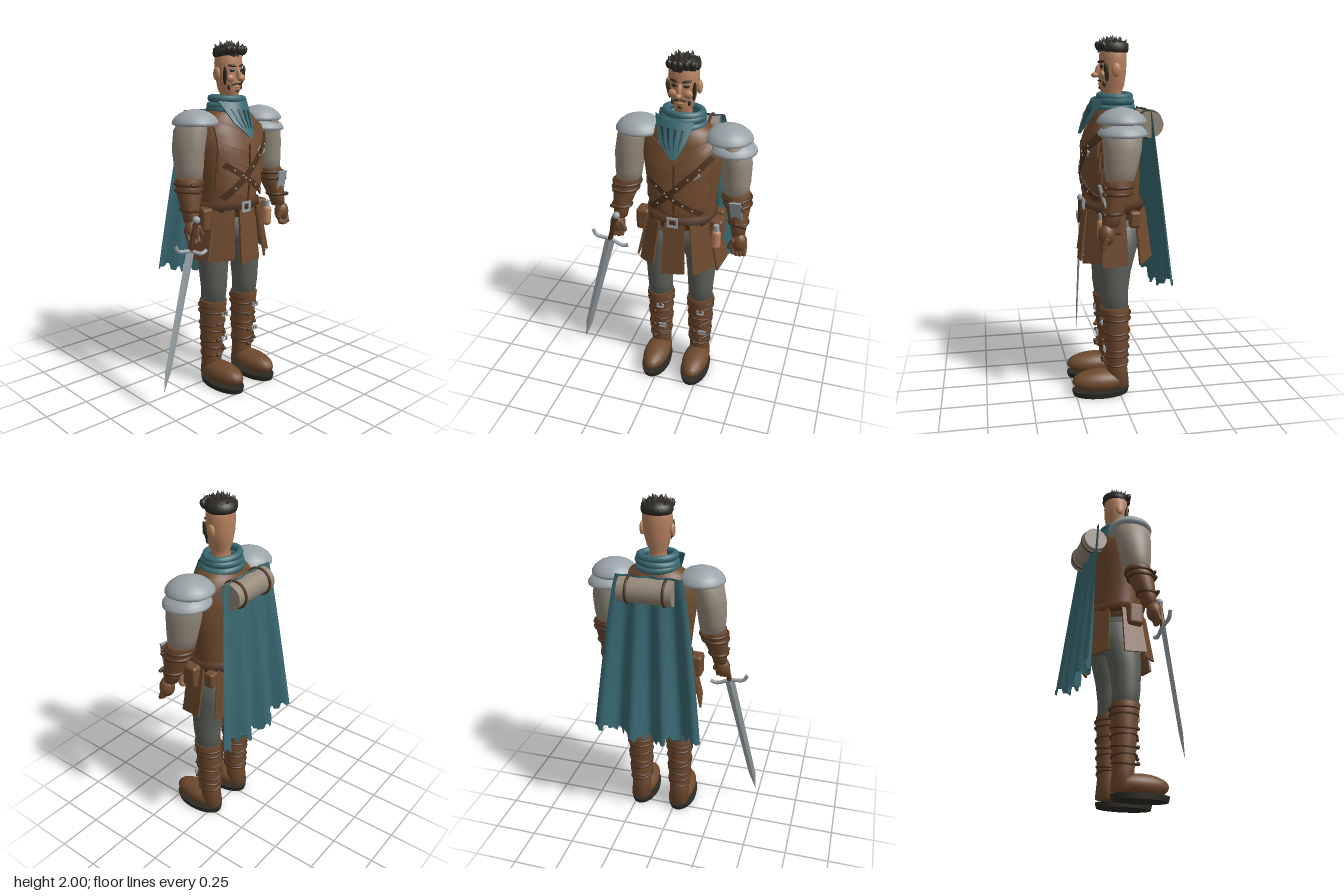
import * as THREE from 'three';
import { RoundedBoxGeometry } from 'three/addons/geometries/RoundedBoxGeometry.js';

const mat = (name, color, side = THREE.FrontSide) => {
  const m = new THREE.MeshStandardMaterial({ color, side });
  m.name = name;
  return m;
};

// Closed loft through elliptical sections [y, cx, cz, rx, rz], bottom to top
function loft(sections, n = 28, flat = false) {
  const f = sections[0], l = sections[sections.length - 1];
  const rows = [[f[0], f[1], f[2], 0, 0], ...sections, [l[0], l[1], l[2], 0, 0]];
  const pos = [], idx = [];
  rows.forEach(([y, cx, cz, rx, rz], i) => {
    for (let j = 0; j < n; j++) {
      const a = (j / n) * Math.PI * 2;
      pos.push(cx + rx * Math.sin(a), y, cz + rz * Math.cos(a));
      if (i === rows.length - 1) continue;
      const p = i * n + j, q = i * n + ((j + 1) % n);
      idx.push(p, q, p + n, q, q + n, p + n);
    }
  });
  let g = new THREE.BufferGeometry();
  g.setAttribute('position', new THREE.Float32BufferAttribute(pos, 3));
  g.setIndex(idx);
  if (flat) g = g.toNonIndexed();
  g.computeVertexNormals();
  return g;
}

// Front surface depth of a loft at (x, y)
function frontZ(sections, x, y) {
  let i = 0;
  while (i < sections.length - 2 && sections[i + 1][0] < y) i++;
  const a = sections[i], b = sections[i + 1];
  const k = THREE.MathUtils.clamp((y - a[0]) / (b[0] - a[0]), 0, 1);
  const [, cx, cz, rx, rz] = a.map((v, q) => v + (b[q] - v) * k);
  return cz + rz * Math.sqrt(Math.max(0, 1 - ((x - cx) / rx) ** 2));
}

// Thin slab bent by f(s, t, d): s, t, d run from -0.5 to 0.5
function bend(nx, ny, f) {
  const g = new THREE.BoxGeometry(1, 1, 1, nx, ny, 1), p = g.attributes.position;
  for (let i = 0; i < p.count; i++) p.setXYZ(i, ...f(p.getX(i), p.getY(i), p.getZ(i)));
  g.computeVertexNormals();
  return g;
}

const TORSO = [[1.02, 0, .01, .185, .135], [1.1, 0, .01, .185, .14], [1.25, 0, .015, .2, .148], [1.42, 0, .015, .222, .148],
  [1.53, 0, .01, .212, .138], [1.59, 0, .005, .16, .115], [1.64, 0, .005, .08, .08]];
const HEAD = [[1.58, 0, .01, .05, .055], [1.68, 0, .015, .047, .055], [1.695, 0, .022, .045, .055], [1.73, 0, .02, .06, .068],
  [1.8, 0, .015, .077, .073], [1.87, 0, .013, .082, .074], [1.93, 0, .012, .077, .072], [1.965, 0, .012, .045, .05]];

export function createModel() {
  const leather = mat('leather', 0x6f4a2e), strapM = mat('dark leather', 0x50341f), teal = mat('teal cloth', 0x396972, THREE.DoubleSide);
  const grey = mat('grey trousers', 0x5c5f58), linen = mat('linen', 0x94897a), steel = mat('steel', 0x9aa3a8);
  const skin = mat('skin', 0xb8835f), hair = mat('hair', 0x2d2a23), dark = mat('dark teal', 0x1d3b42);
  const root = new THREE.Group(), body = new THREE.Group();
  body.name = 'warrior';
  body.position.x = .095;
  root.add(body);
  const add = (name, geo, m, pos = [0, 0, 0], rot = [0, 0, 0], scale = [1, 1, 1], parent = body) => {
    const o = new THREE.Mesh(geo, m);
    o.name = name;
    o.position.set(...pos); o.rotation.set(...rot); o.scale.set(...scale);
    parent.add(o);
    return o;
  };
  const ball = (name, m, pos, scale, rot) => add(name, new THREE.SphereGeometry(1, 20, 14), m, pos, rot, scale);
  const ring = (name, m, y, cx, cz, rx, rz, tube, tilt = 0) =>
    add(name, new THREE.TorusGeometry(1, tube / rx, 8, 32), m, [cx, y, cz], [Math.PI / 2, tilt, 0], [rx, rz, rx]);
  const buckle = (w, h, pos, rotZ = 0) => {
    const s = new THREE.Shape([[-1, -1], [1, -1], [1, 1], [-1, 1]].map(([x, y]) => new THREE.Vector2(x * w, y * h)));
    s.holes.push(new THREE.Path([[-1, -1], [-1, 1], [1, 1], [1, -1]].map(([x, y]) => new THREE.Vector2(x * w * .6, y * h * .6))));
    add('buckle', new THREE.ExtrudeGeometry(s, { depth: .01, bevelEnabled: false }), steel, pos, [0, 0, rotZ]);
  };

  // Vest with overlapping chevron plates
  add('vest', loft(TORSO, 40), leather);
  [1.44, 1.355, 1.27, 1.185].forEach((y0, k) => add('chestPlate', bend(16, 3, (s, t, d) => {
    const x = s * (k === 0 ? .36 : .35), y = y0 + Math.abs(x) * .38 + t * .11;
    return [x, y, frontZ(TORSO, x, y) + .016 - t * .02 + d * .01];
  }), leather));
  add('vestSeam', bend(1, 8, (s, t, d) => {
    const y = 1.28 + t * .32;
    return [s * .008, y, frontZ(TORSO, 0, y) + .03 + d * .006];
  }), strapM);
  const strap = (ax, ay, bx, by, w, off) => {
    const l = Math.hypot(bx - ax, by - ay), ex = (bx - ax) / l, ey = (by - ay) / l;
    add('chestStrap', bend(12, 1, (s, t, d) => {
      const x = ax + (bx - ax) * (s + .5) - ey * t * w, y = ay + (by - ay) * (s + .5) + ex * t * w;
      return [x, y, frontZ(TORSO, x, y) + off + d * .01];
    }), strapM);
    for (let k = 1; k < 6; k++) {
      const x = ax + (bx - ax) * k / 6, y = ay + (by - ay) * k / 6;
      ball('stud', steel, [x, y, frontZ(TORSO, x, y) + off + .006], [.006, .006, .004]);
    }
  };
  strap(-.15, 1.14, .19, 1.48, .034, .034);
  strap(.15, 1.14, -.15, 1.33, .03, .03);
  buckle(.022, .022, [.11, 1.39, .165], .7);

  // Belt, buckle, pouches and flask
  add('belt', loft([[1.055, 0, .01, .2, .165], [1.108, 0, .01, .2, .163]], 40), strapM);
  buckle(.032, .03, [-.01, 1.082, .172]);
  for (const m of [-1, 1]) add('pouch', new RoundedBoxGeometry(.075, .13, .09, 3, .018), leather, [m * .215, 1.02, .05]);
  add('beltPouch', new RoundedBoxGeometry(.06, .09, .06, 3, .015), leather, [.2, 1.03, -.07]);
  add('flask', new THREE.CapsuleGeometry(.026, .07, 6, 14), skin, [.225, .985, .115]);
  add('flaskCap', new THREE.CylinderGeometry(.016, .016, .04, 14), steel, [.225, 1.055, .115]);

  // Skirt panels hanging from the belt
  [0, 42, -42, 80, -80, 142, -142].forEach((deg, k) => {
    const a = THREE.MathUtils.degToRad(deg), low = k === 0 ? .765 : .785;
    add('skirtPanel', bend(4, 4, (s, t, d) => {
      const h = .5 - t, w = s * (.115 + .025 * h), r = d * .012;
      const rx = .192 + .06 * h + r, rz = .158 + .035 * h + r;
      const y = 1.07 - h * (1.07 - low) + h * .02 * s;
      return [Math.sin(a) * rx + Math.cos(a) * w, y, .01 + Math.cos(a) * rz - Math.sin(a) * w];
    }), leather);
  });

  // Trousers, boots and feet
  add('trouserSeat', loft([[.86, 0, .005, .15, .1], [.92, 0, .003, .185, .118], [1.06, 0, .008, .182, .135]]), grey);
  for (const m of [-1, 1]) {
    const x = m * .125;
    add('trouserLeg', loft([[.48, x, .022, .068, .073], [.6, x, .032, .074, .08], [.72, x, .027, .083, .09],
      [.85, m * .115, .01, .09, .108], [.98, m * .1, .004, .088, .112]]), grey);
    add('bootShaft', loft([[.05, x, .005, .062, .062], [.15, x, .013, .06, .06], [.3, x, .016, .07, .068],
      [.45, x, .023, .074, .077], [.515, x, .027, .078, .083], [.522, x, .027, .07, .075]]), leather);
    ball('bootFoot', leather, [x, .08, .107], [.078, .064, .163]);
    add('sole', new THREE.CylinderGeometry(1, .95, .03, 32), hair, [x, .015, .107], [0, 0, 0], [.086, 1, .165]);
    [.19, .225, .28, .33, .38, .45, .485].forEach((y, k) => {
      const r = .062 + (y - .15) * .045;
      ring('bootStrap', strapM, y, x, .018, r, r + .002, .007, k > 4 ? 0 : (k % 2 ? .16 : -.16) * m);
      ball('laceKnot', strapM, [x + (k % 2 ? .02 : -.02), y, .09 + (k % 2) * .01], [.012, .011, .012]);
    });
    buckle(.022, .013, [x + .03, .28, .085]);
    buckle(.022, .013, [x + .02, .44, .1]);
  }

  // Arms
  for (const m of [-1, 1]) {
    add('sleeve', loft([[1.23, m * .307, .038, .066, .07], [1.32, m * .305, .03, .078, .085], [1.42, m * .3, .02, .083, .1],
      [1.52, m * .285, .02, .08, .107], [1.59, m * .26, .02, .05, .08]]), linen);
    add('bracer', loft([[1.03, m * .343, .093, .038, .042], [1.08, m * .34, .082, .045, .05], [1.18, m * .325, .055, .069, .069],
      [1.255, m * .31, .038, .076, .078], [1.27, m * .308, .036, .07, .072]]), leather);
    [[1.1, .337, .076, .052], [1.2, .322, .05, .073], [1.235, .315, .043, .077]].forEach(([y, cx, cz, r]) => {
      ring('bracerStrap', strapM, y, m * cx, cz, r, r, .009);
      add('strapEnd', new THREE.CapsuleGeometry(.011, .05, 4, 10), strapM, [m * (cx + .02), y, cz + r], [0, 0, 1.45]);
    });
    // Gloved hand
    ball('glovePalm', leather, [m * .355, .99, .112], [.044, .058, .042]);
    for (let k = 0; k < 4; k++)
      add('finger', new THREE.CapsuleGeometry(.013, .045, 5, 10), leather, [m * (.325 + k * .021), .942 + Math.abs(k - 1.5) * .006, .125], [-.35, 0, 0]);
    add('thumb', new THREE.CapsuleGeometry(.014, .045, 5, 10), leather, [m * .315, .985, .135], [0, 0, m * -.4]);
  }
  add('bracerPlate', new THREE.BoxGeometry(.062, .12, .012), steel, [.33, 1.185, .128], [.25, 0, .08]);
  add('bracerPlateBand', new THREE.BoxGeometry(.066, .02, .016), strapM, [.33, 1.2, .128], [.25, 0, .08]);

  // Shoulder armour
  const dome = new THREE.LatheGeometry([[0, .01], [.118, 0], [.128, .006], [.127, .02], [.112, .042], [.085, .063],
    [.05, .078], [.02, .084], [0, .085]].map(p => new THREE.Vector2(...p)), 40);
  add('shoulderPlate', dome, steel, [-.245, 1.545, .015]);
  add('shoulderPlate', dome, steel, [.25, 1.545, .015]);
  add('lowerShoulderPlate', dome, steel, [.275, 1.487, .015], [0, 0, -.04], [1, .9, 1]);

  // Head and face
  add('head', loft(HEAD, 32), skin);
  const onFace = (name, m, x, y, scale, rot) => ball(name, m, [x, y, frontZ(HEAD, x, y)], scale, rot);
  for (const m of [-1, 1]) {
    ball('ear', skin, [m * .084, 1.815, .01], [.014, .037, .025]);
    onFace('brow', hair, m * .034, 1.858, [.026, .007, .009], [0, m * .4, m * .12]);
    onFace('eye', hair, m * .033, 1.833, [.017, .009, .005], [0, m * .4, 0]);
    onFace('cheek', skin, m * .04, 1.79, [.026, .022, .016]);
    onFace('moustache', hair, m * .02, 1.758, [.02, .005, .008], [0, m * .3, -m * .2]);
    onFace('jawBeard', hair, m * .045, 1.742, [.008, .016, .009]);
    ball('sideburn', hair, [m * .068, 1.805, .06], [.01, .052, .012], [.12, 0, -m * .1]);
  }
  onFace('goatee', hair, 0, 1.722, [.012, .008, .006]);
  onFace('lowerLip', skin, 0, 1.742, [.018, .006, .007]);
  ball('noseBridge', skin, [0, 1.815, .092], [.011, .035, .018], [-.3, 0, 0]);
  ball('noseTip', skin, [0, 1.788, .112], [.016, .014, .02]);

  // Hair: cap and swept locks
  add('hairCap', loft([[1.905, 0, .005, .081, .07], [1.92, 0, .008, .087, .08], [1.95, 0, .012, .084, .084], [1.968, 0, .012, .05, .05]]), hair);
  [[16, .07, .055, 1.945, .45], [12, .045, .055, 1.958, .3], [6, .018, .05, 1.965, .1]].forEach(([n, r, len, y, lean], k) => {
    for (let j = 0; j < n; j++) {
      const a = (j / n) * Math.PI * 2 + k * .3, g = new THREE.ConeGeometry(.021, len, 6);
      const o = add('hairLock', g, hair, [Math.sin(a) * r, y + .007 * ((j * 5) % 3 - 1), .02 + Math.cos(a) * r]);
      o.rotation.set(lean, a + .35, 0, 'YXZ');
    }
  });
  for (let j = -2; j <= 2; j++)
    ball('fringe', hair, [j * .03, 1.938, .092 - Math.abs(j) * .009], [.018, .026, .018], [.4, 0, j * -.1]);

  // Scarf rolls and hanging kerchief
  [[1.615, .105, .095], [1.645, .103, .09], [1.675, .098, .083]].forEach(([y, rx, rz], k) =>
    ring('scarfRoll', teal, y, 0, .004, rx, rz, .021, k % 2 ? .06 : -.05));
  const kerchief = (s, t, d, lift, th) => {
    const h = .5 - t, e = h < .6 ? h / .6 : (h - .6) / .4;
    const L = h < .6 ? -.135 + .045 * e : -.09 + .075 * e, R = h < .6 ? .08 - .03 * e : .05 - .035 * e;
    const x = L + (R - L) * (s + .5), y = 1.672 - .195 * h - (s + .5) * .025 * (1 - h);
    return [x, y, .125 + .075 * h - 4 * (x + .02) ** 2 * (1 - .5 * h) + lift + d * th];
  };
  add('kerchief', bend(12, 10, (s, t, d) => kerchief(s, t, d, 0, .01)), teal);
  for (const s0 of [-.3, -.1, .1, .3])
    add('kerchiefFold', bend(1, 6, (s, t, d) => kerchief(s0 + s * .07 * (.7 + t), t * .55 + .02, d, .007, .005)), dark);

  // Cape with widening folds and a ragged hem
  const cape = new THREE.PlaneGeometry(2, 1, 64, 24), cp = cape.attributes.position;
  for (let i = 0; i < cp.count; i++) {
    const s = cp.getX(i), t = .5 - cp.getY(i), col = Math.floor((s + 1) * 12.5);
    const hem = .605 + .07 * Math.abs(s) + (t > .99 ? .055 * (((col * 7) % 5) / 4) ** 2 : 0);
    cp.setXYZ(i, s * (.185 + .13 * Math.pow(t, .8)), 1.61 - (1.61 - hem) * t,
      -.155 - .075 * t + (.006 + .03 * t) * Math.cos(s * Math.PI * 2 / .6));
  }
  cape.computeVertexNormals();
  add('cape', cape, teal);

  // Bedroll with straps
  add('bedroll', new THREE.CylinderGeometry(.069, .069, .3, 32), linen, [.01, 1.53, -.162], [0, 0, Math.PI / 2]);
  for (const x of [-.095, .11]) add('bedrollStrap', new THREE.TorusGeometry(.071, .008, 8, 32), strapM, [x, 1.53, -.162], [0, Math.PI / 2, 0]);

  // Sword held in the right hand
  const sword = new THREE.Group();
  sword.name = 'sword';
  sword.position.set(-.395, .888, .145);
  sword.rotation.z = -.254;
  body.add(sword);
  const part = (name, g, m, pos) => add(name, g, m, pos, [0, 0, 0], [1, 1, 1], sword);
  part('blade', loft([[-.788, 0, .005, .001, .001], [-.67, 0, .005, .021, .005], [0, 0, 0, .029, .008]], 4, true), steel);
  const guard = new THREE.CatmullRomCurve3([[-.115, .022], [-.085, -.008], [0, 0], [.085, -.008], [.115, .012]].map(([x, y]) => new THREE.Vector3(x, y, 0)));
  part('guard', new THREE.TubeGeometry(guard, 32, .011, 10), steel);
  part('grip', new THREE.CylinderGeometry(.015, .015, .16, 12), strapM, [0, .08, 0]);
  part('pommel', new THREE.SphereGeometry(.022, 14, 10), steel, [0, .17, 0]);
  return root;
}
